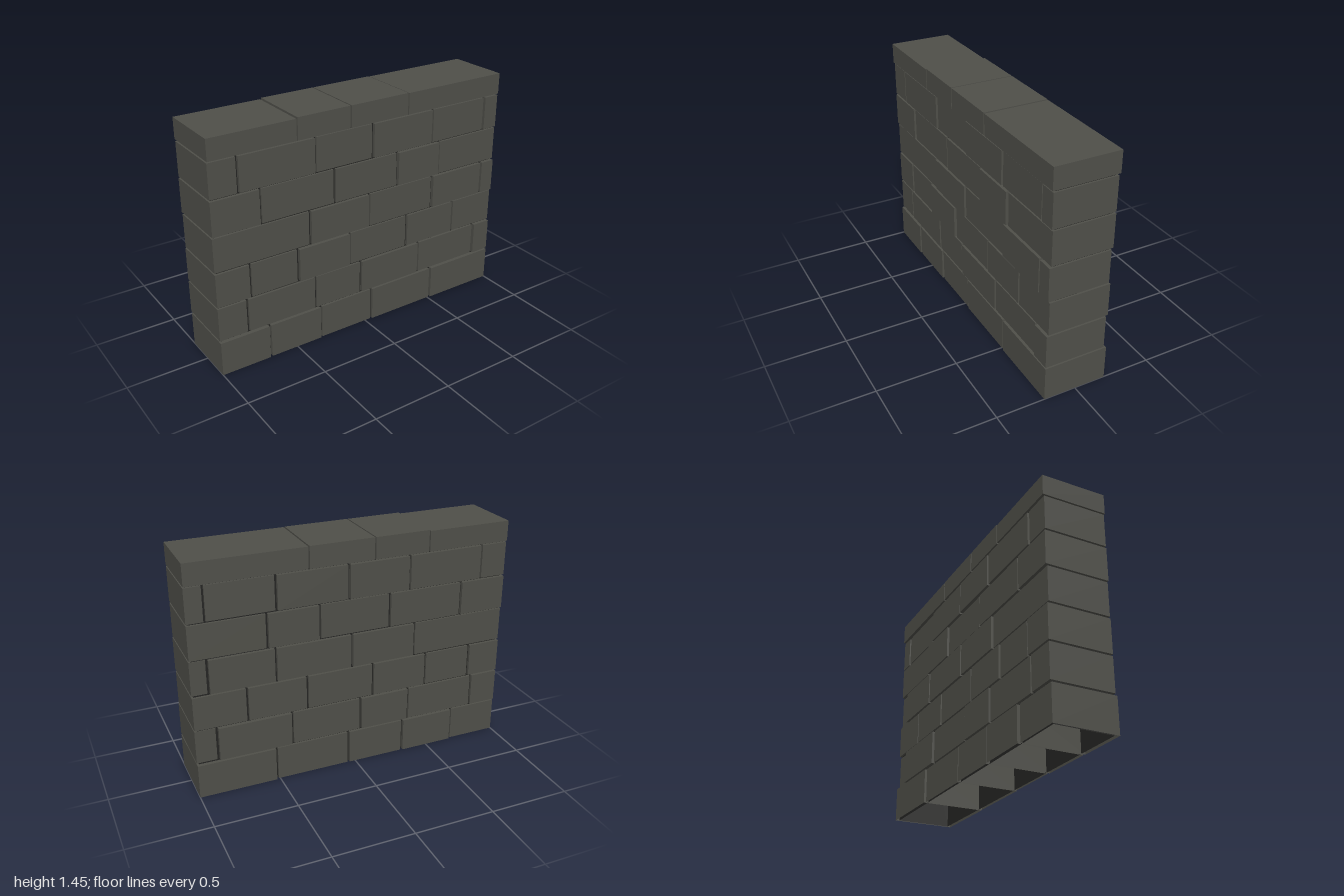
import * as THREE from 'three';

export function createModel() {
  const wall = new THREE.Group();
  wall.name = 'brickWall';
  const stone = new THREE.MeshStandardMaterial({ name: 'greyStone', color: 0x4f4f49, side: THREE.DoubleSide });
  const mortar = new THREE.MeshStandardMaterial({ name: 'darkMortar', color: 0x252523, side: THREE.DoubleSide });

  // Small repeatable variation
  let seed = 7;
  const vary = () => (seed = (seed * 16807) % 2147483647) / 2147483647;

  // Block given by its extents; open ones have no underside
  function block(name, material, x0, x1, y0, y1, z0, z1, open) {
    const g = new THREE.BoxGeometry(x1 - x0, y1 - y0, z1 - z0);
    if (open) {
      const idx = Array.from(g.index.array);
      idx.splice(18, 6);
      g.setIndex(idx);
      g.clearGroups();
    }
    const m = new THREE.Mesh(g, material);
    m.name = name;
    m.position.set((x0 + x1) / 2, (y0 + y1) / 2, (z0 + z1) / 2);
    return m;
  }

  // Courses from the ground up: joint positions, and front and back of the last brick
  const courses = [
    { joints: [-0.68, -0.325, 0.045, 0.515], end: [0.2, -0.198] },
    { joints: [-0.815, -0.36, -0.035, 0.41, 0.87], end: [0.2, -0.18] },
    { joints: [-0.785, -0.475, -0.115, 0.31, 0.68], end: [0.19, -0.19] },
    { joints: [-0.39, 0.025, 0.5, 0.9], end: [0.2, -0.18] },
    { joints: [-0.7, -0.22, 0.225, 0.545], end: [0.19, -0.19] },
    { joints: [-0.83, -0.345, 0.045, 0.485, 0.895], end: [0.195, -0.19] },
  ];
  const pitch = 0.219, gap = 0.007;

  courses.forEach(({ joints, end }, r) => {
    const row = new THREE.Group();
    row.name = `course${r + 1}`;
    const xs = [-1, ...joints, 1];
    const y0 = r === 0 ? 0 : r * pitch + 0.006;
    const y1 = (r + 1) * pitch - 0.005;
    for (let i = 0; i < xs.length - 1; i++) {
      const last = i === xs.length - 2;
      const front = last ? end[0] : 0.2 - 0.014 * vary();
      const back = last ? end[1] : -0.2 + 0.014 * vary();
      const x0 = xs[i] + (i ? gap : 0);
      const x1 = xs[i + 1] - (last ? 0 : gap);
      row.add(block('brick', stone, x0, x1, y0, y1, back, front, r === 0));
    }
    wall.add(row);
  });

  // Capstones
  const caps = new THREE.Group();
  caps.name = 'capstones';
  const capX = [-1, -0.465, -0.115, 0.29, 1];
  const capTop = [1.445, 1.452, 1.452, 1.45];
  capTop.forEach((top, i) => {
    const x0 = capX[i] + (i ? 0.004 : 0);
    const x1 = capX[i + 1] - (i < 3 ? 0.004 : 0);
    caps.add(block('capstone', stone, x0, x1, 1.319, top, -0.2, 0.2));
  });
  wall.add(caps);

  // Recessed mortar core, open underneath
  wall.add(block('mortarCore', mortar, -0.988, 0.988, 0, 1.3195, -0.175, 0.175, true));
  return wall;
}
